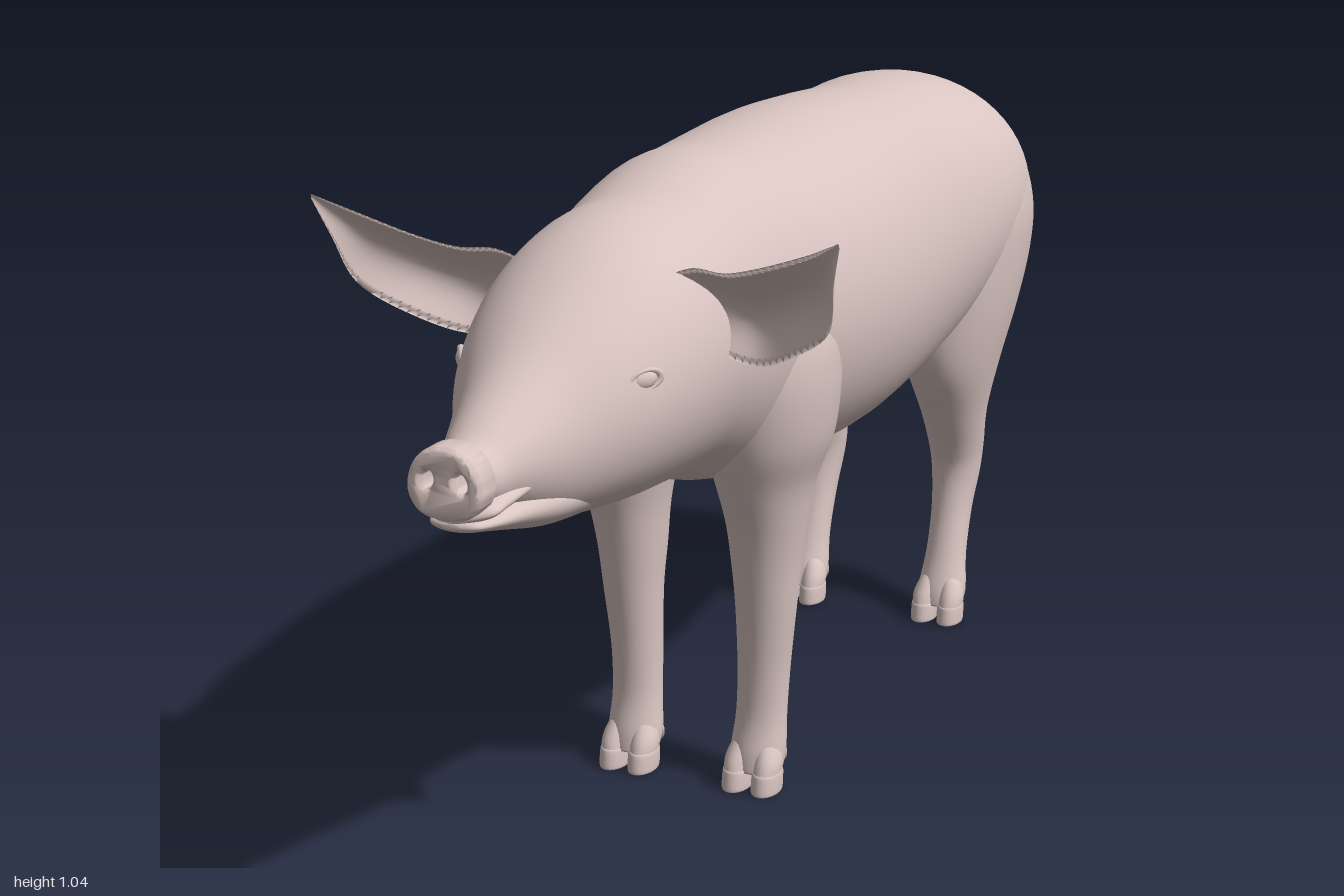
import * as THREE from 'three';
import { toCreasedNormals } from 'three/addons/utils/BufferGeometryUtils.js';

const skin = new THREE.MeshStandardMaterial({ color: 0xd8c4c0 });
const V = (x, y, z) => new THREE.Vector3(x, y, z);

function part(geometry, name, parent) {
  const mesh = new THREE.Mesh(geometry, skin);
  mesh.name = name;
  parent.add(mesh);
  return mesh;
}

// Closed smooth skin over a list of rings, faces turned outwards
function loft(rings) {
  const n = rings[0].length, m = rings.length;
  const pts = rings.flat(), idx = [];
  for (let i = 0; i < m - 1; i++)
    for (let j = 0; j < n; j++) {
      const a = i * n + j, b = i * n + (j + 1) % n;
      idx.push(a, b, a + n, b, b + n, a + n);
    }
  for (const end of [0, m - 1]) {
    const mid = rings[end].reduce((s, p) => s.add(p), V(0, 0, 0)).divideScalar(n);
    pts.push(mid);
    for (let j = 0; j < n; j++) {
      const a = end * n + j, b = end * n + (j + 1) % n;
      idx.push(...(end ? [a, b, pts.length - 1] : [b, a, pts.length - 1]));
    }
  }
  let volume = 0;
  for (let i = 0; i < idx.length; i += 3)
    volume += pts[idx[i]].dot(V(0, 0, 0).crossVectors(pts[idx[i + 1]], pts[idx[i + 2]]));
  if (volume < 0) idx.reverse();
  const g = new THREE.BufferGeometry().setFromPoints(pts);
  g.setIndex(idx);
  g.computeVertexNormals();
  return g;
}

// Smoothly interpolated rows between the given stations
function refine(rows, steps) {
  const out = [], at = i => rows[Math.min(Math.max(i, 0), rows.length - 1)];
  for (let i = 0; i < rows.length - 1; i++)
    for (let k = 0; k < steps; k++) {
      const t = k / steps;
      out.push(rows[i].map((p1, c) => {
        const p0 = at(i - 1)[c], p2 = at(i + 1)[c], p3 = at(i + 2)[c];
        return p1 + 0.5 * t * (p2 - p0 + t * (2 * p0 - 5 * p1 + 4 * p2 - p3 + t * (3 * (p1 - p2) + p3 - p0)));
      }));
    }
  out.push(rows[rows.length - 1]);
  return out;
}

const circle = (n, f) => Array.from({ length: n }, (_, i) => f(Math.cos(i / n * 2 * Math.PI), Math.sin(i / n * 2 * Math.PI)));

// Upright cross-sections along z: [z, top, bottom, half width]
const barrel = rows => loft(refine(rows, 5).map(([z, t, b, w]) =>
  circle(56, (c, s) => V(w * c, (t + b) / 2 + (t - b) / 2 * s, z))));

// Level cross-sections along y: [y, x, z, radius x, radius z]
const column = (rows, side, n = 32) => loft(refine(rows, 5).map(([y, x, z, rx, rz]) =>
  circle(n, (c, s) => V(side * (x + rx * c), y, z + rz * s))));

const BODY = [
  [0.965, 0.768, 0.69, 0.048], [0.93, 0.772, 0.675, 0.052], [0.89, 0.793, 0.662, 0.064],
  [0.8, 0.845, 0.62, 0.1], [0.7, 0.912, 0.6, 0.15], [0.6, 0.968, 0.586, 0.178],
  [0.5, 0.997, 0.576, 0.188], [0.42, 1.003, 0.568, 0.19], [0.35, 1.02, 0.545, 0.2],
  [0.25, 1.038, 0.515, 0.218], [0.15, 1.036, 0.5, 0.235], [0, 1.04, 0.482, 0.254],
  [-0.15, 1.045, 0.472, 0.26], [-0.3, 1.04, 0.477, 0.255], [-0.45, 1.03, 0.49, 0.246],
  [-0.55, 1.027, 0.515, 0.25], [-0.65, 1.024, 0.55, 0.257], [-0.75, 1.01, 0.59, 0.245],
  [-0.82, 0.98, 0.64, 0.208], [-0.87, 0.93, 0.7, 0.145], [-0.89, 0.885, 0.745, 0.085], [-0.897, 0.84, 0.79, 0.025]];

const FRONT_LEG = [
  [0.86, 0.1, 0.22, 0.06, 0.08], [0.78, 0.125, 0.215, 0.094, 0.12], [0.7, 0.13, 0.213, 0.104, 0.14],
  [0.6, 0.125, 0.21, 0.1, 0.13], [0.52, 0.12, 0.206, 0.077, 0.103], [0.45, 0.12, 0.202, 0.064, 0.08],
  [0.38, 0.118, 0.199, 0.056, 0.065], [0.3, 0.117, 0.2, 0.049, 0.051], [0.2, 0.113, 0.198, 0.043, 0.043],
  [0.12, 0.111, 0.203, 0.042, 0.038], [0.06, 0.11, 0.214, 0.046, 0.04], [0.03, 0.11, 0.22, 0.042, 0.038]];

const HIND_LEG = [
  [0.95, 0.1, -0.68, 0.05, 0.08], [0.88, 0.118, -0.68, 0.112, 0.165], [0.79, 0.13, -0.68, 0.128, 0.212],
  [0.7, 0.133, -0.675, 0.125, 0.206], [0.6, 0.135, -0.655, 0.11, 0.175], [0.5, 0.14, -0.642, 0.083, 0.135],
  [0.4, 0.14, -0.656, 0.06, 0.083], [0.32, 0.138, -0.682, 0.05, 0.063], [0.27, 0.138, -0.684, 0.045, 0.052],
  [0.2, 0.138, -0.664, 0.038, 0.042], [0.12, 0.139, -0.634, 0.038, 0.037], [0.06, 0.14, -0.612, 0.045, 0.039],
  [0.03, 0.14, -0.604, 0.042, 0.037]];

// Leg with two toes, two hoof nails and two dewclaws
function addLeg(parent, rows, side, name) {
  const leg = new THREE.Group();
  leg.name = name;
  parent.add(leg);
  part(column(rows, side), 'limb', leg);
  const [, x, z] = rows[rows.length - 1];
  for (const k of [-1, 1]) {
    const tx = x + k * 0.0255;
    part(column([[0.028, tx, z + 0.018, 0.022, 0.033], [0.05, tx, z + 0.012, 0.022, 0.03],
      [0.075, tx - k * 0.004, z, 0.017, 0.024], [0.09, tx - k * 0.008, z - 0.006, 0.008, 0.012]], side, 20), 'toe', leg);
    part(column([[0, tx, z + 0.02, 0.021, 0.034], [0.004, tx, z + 0.02, 0.0235, 0.037],
      [0.03, tx, z + 0.017, 0.0235, 0.035], [0.034, tx, z + 0.016, 0.021, 0.032]], side, 20), 'hoofNail', leg);
    part(column([[0.025, tx, z - 0.047, 0.003, 0.003], [0.035, tx, z - 0.042, 0.009, 0.008],
      [0.055, tx, z - 0.03, 0.012, 0.012], [0.075, tx - k * 0.006, z - 0.018, 0.008, 0.008]], side, 12), 'dewclaw', leg);
  }
}

// Cupped ear between an upper and a lower edge: [upper xyz, lower xyz, cup depth, thickness]
function addEar(parent, side, name) {
  const rows = refine([
    [0.1, 0.915, 0.55, 0.12, 0.83, 0.5, 0.03, 0.025], [0.155, 0.937, 0.56, 0.165, 0.805, 0.505, 0.055, 0.022],
    [0.21, 0.938, 0.575, 0.235, 0.792, 0.515, 0.07, 0.015], [0.27, 0.955, 0.595, 0.31, 0.825, 0.555, 0.066, 0.012],
    [0.345, 0.983, 0.615, 0.372, 0.873, 0.59, 0.04, 0.01], [0.385, 1.002, 0.635, 0.39, 0.945, 0.622, 0.018, 0.007],
    [0.406, 1.013, 0.648, 0.407, 1.005, 0.645, 0.003, 0.002]], 6);
  const n = 14;
  part(loft(rows.map(r => {
    const up = V(r[0], r[1], r[2]), low = V(r[3], r[4], r[5]), ring = [];
    const point = (v, d) => {
      const p = up.clone().lerp(low, v);
      return V(side * p.x, p.y, p.z - d * Math.sin(Math.PI * v));
    };
    for (let i = 0; i <= n; i++) ring.push(point(i / n, r[6]));
    for (let i = n - 1; i > 0; i--) ring.push(point(i / n, r[6] - r[7]));
    return ring;
  })), name, parent);
}

// Eyeball framed by almond-shaped lids
function addEye(parent, side, name) {
  const eye = new THREE.Group();
  eye.name = name;
  eye.position.set(side * 0.142, 0.808, 0.69);
  eye.rotation.set(0, side * 1.0, side * 0.12);
  parent.add(eye);
  part(new THREE.SphereGeometry(0.02, 20, 14), 'eyeball', eye).scale.set(1, 0.65, 0.45);
  const lids = new THREE.TorusGeometry(0.022, 0.0055, 10, 32);
  part(lids, 'eyelids', eye).scale.set(1.15, 0.62, 1);
}

// Rounded snout plate with two open nostrils
function addSnout(parent) {
  const outline = new THREE.Shape([[0.03, -0.038], [0.047, -0.014], [0.04, 0.02], [0.018, 0.039],
    [-0.018, 0.039], [-0.04, 0.02], [-0.047, -0.014], [-0.03, -0.038]].reduce((list, p, i, all) => {
    if (i === 0) list = new THREE.CatmullRomCurve3(all.map(q => V(q[0], q[1], 0)), true)
      .getPoints(48).slice(0, -1).map(q => new THREE.Vector2(q.x, q.y));
    return list;
  }, []));
  for (const s of [-1, 1])
    outline.holes.push(new THREE.Path().absellipse(s * 0.025, 0.003, 0.0165, 0.021, 0, 2 * Math.PI, true, s * 0.25));
  const g = new THREE.ExtrudeGeometry(outline, {
    depth: 0.03, bevelThickness: 0.01, bevelSize: 0.008, bevelSegments: 5, curveSegments: 16 });
  part(toCreasedNormals(g, 0.7), 'snout', parent).position.set(0, 0.733, 0.96);
}

export function createModel() {
  const pig = new THREE.Group();
  pig.name = 'pig';
  part(barrel(BODY), 'body', pig);

  // Head details
  part(barrel([[0.982, 0.674, 0.666, 0.012], [0.972, 0.68, 0.66, 0.036], [0.94, 0.684, 0.652, 0.05],
    [0.88, 0.692, 0.635, 0.062], [0.8, 0.7, 0.614, 0.08], [0.7, 0.7, 0.602, 0.09]]), 'lowerJaw', pig);
  part(barrel([[0.984, 0.692, 0.676, 0.025], [0.965, 0.705, 0.675, 0.056], [0.93, 0.712, 0.677, 0.06],
    [0.87, 0.72, 0.682, 0.064]]), 'upperLip', pig);
  addSnout(pig);

  for (const [side, word] of [[1, 'left'], [-1, 'right']]) {
    addEye(pig, side, word + 'Eye');
    addEar(pig, side, word + 'Ear');
    addLeg(pig, FRONT_LEG, side, word + 'FrontLeg');
    addLeg(pig, HIND_LEG, side, word + 'HindLeg');
  }

  // Small swelling under the belly
  const swelling = part(new THREE.SphereGeometry(1, 24, 16), 'bellySwelling', pig);
  swelling.scale.set(0.035, 0.025, 0.06);
  swelling.position.set(0, 0.507, -0.47);

  // Tapering, drooping tail: [y, z, radius]
  const tail = refine([[0.84, -0.85, 0.045], [0.85, -0.89, 0.028], [0.855, -0.92, 0.016], [0.85, -0.95, 0.012],
    [0.828, -0.98, 0.009], [0.79, -0.998, 0.003]], 5);
  part(loft(tail.map(([y, z, r], i) => {
    const a = tail[Math.max(i - 1, 0)], b = tail[Math.min(i + 1, tail.length - 1)];
    const dir = new THREE.Vector2(b[0] - a[0], b[1] - a[1]).normalize();
    return circle(16, (c, s) => V(r * c, y - dir.y * r * s, z + dir.x * r * s));
  })), 'tail', pig);
  return pig;
}
